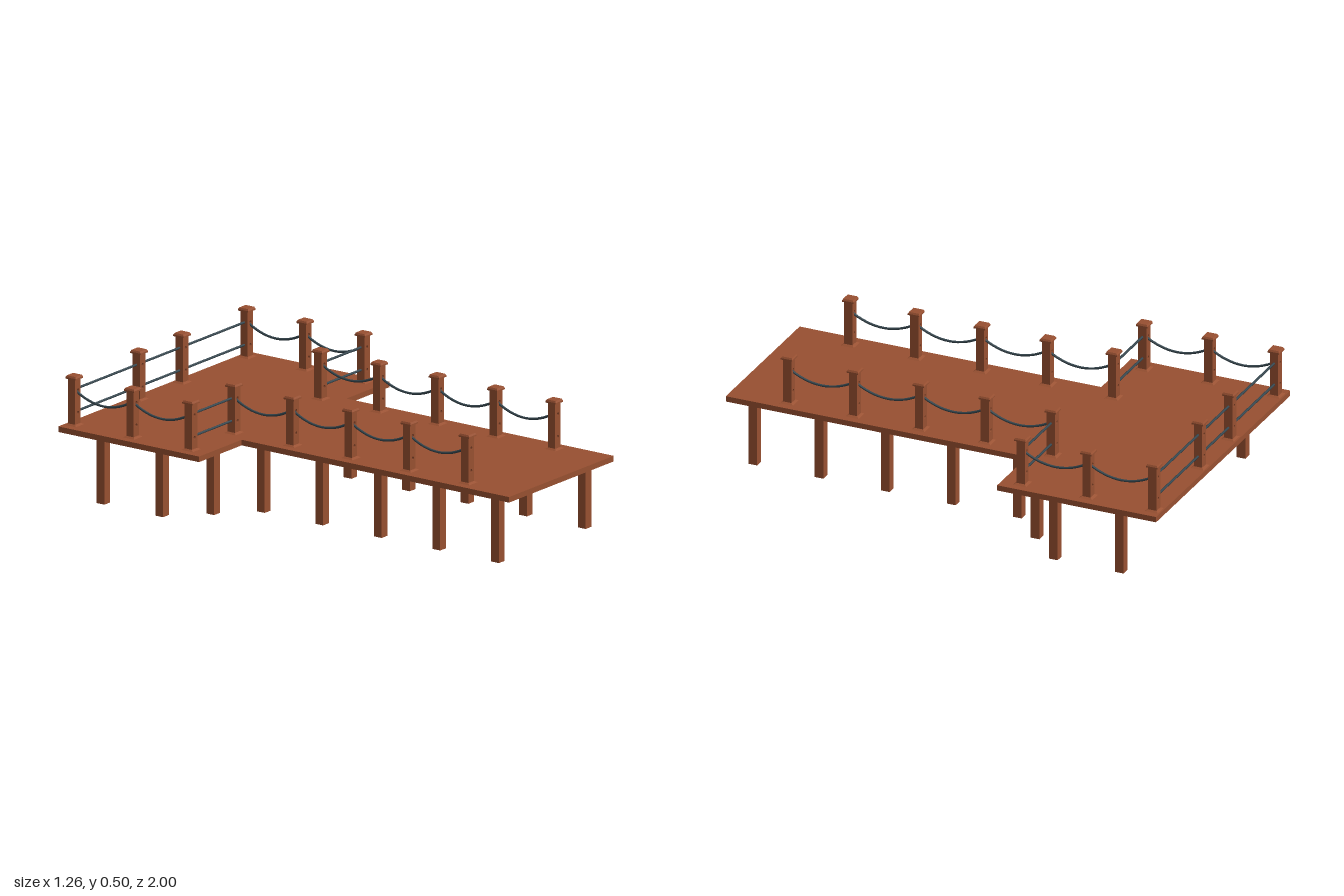
import * as THREE from 'three';

const wood = new THREE.MeshStandardMaterial({ color: 0x985031 });
wood.name = 'reddish wood';
const cord = new THREE.MeshStandardMaterial({ color: 0x36474f });
cord.name = 'slate rope';

const DECK_BOTTOM = 0.274, DECK_TOP = 0.297;
const ROPE_Y = 0.442, LOW_ROPE_Y = 0.349, ROPE_R = 0.005;
const POST_W = 0.036, POST_TOP = 0.488;

function add(parent, name, geometry, material, x = 0, y = 0, z = 0) {
  const mesh = new THREE.Mesh(geometry, material);
  mesh.name = name;
  mesh.position.set(x, y, z);
  parent.add(mesh);
  return mesh;
}

// square frustum standing on y = 0
function squareFrustum(bottom, top, height) {
  const g = new THREE.CylinderGeometry(top / Math.SQRT2, bottom / Math.SQRT2, height, 4, 1).toNonIndexed();
  g.rotateY(Math.PI / 4);
  g.translate(0, height / 2, 0);
  g.computeVertexNormals();
  return g;
}

// T-shaped platform
function deckGeometry() {
  const outline = [[-0.349, -1], [0.347, -1], [0.347, 0.31], [0.632, 0.31],
    [0.632, 1], [-0.632, 1], [-0.632, 0.31], [-0.349, 0.31]];
  const shape = new THREE.Shape(outline.map(([x, y]) => new THREE.Vector2(x, y)));
  const g = new THREE.ExtrudeGeometry(shape, { depth: DECK_TOP - DECK_BOTTOM, bevelEnabled: false });
  g.rotateX(-Math.PI / 2);
  g.translate(0, DECK_BOTTOM, 0);
  return g;
}

// square post drilled front to back at both rope heights
function postGeometry() {
  const h = POST_W / 2;
  const shape = new THREE.Shape([[-h, DECK_TOP], [h, DECK_TOP], [h, POST_TOP], [-h, POST_TOP]]
    .map(([x, y]) => new THREE.Vector2(x, y)));
  for (const y of [ROPE_Y, LOW_ROPE_Y]) {
    shape.holes.push(new THREE.Path().absarc(0, y, 0.007, 0, Math.PI * 2, true));
  }
  const g = new THREE.ExtrudeGeometry(shape, { depth: POST_W, bevelEnabled: false, curveSegments: 8 });
  g.translate(0, 0, -h);
  return g;
}

export function createModel() {
  const model = new THREE.Group();
  model.name = 'pier';
  add(model, 'deck', deckGeometry(), wood);

  // piles under the deck
  const legGeo = new THREE.BoxGeometry(0.038, DECK_BOTTOM, 0.038);
  const legs = [[0.288, 0.901], [0.288, 0.613], [0.288, 0.326], [0.288, 0.039], [0.288, -0.247],
    [0.43, -0.39], [0.573, -0.535], [0.573, -0.822]];

  // railing posts
  const postGeo = postGeometry();
  const footGeo = squareFrustum(0.056, 0.036, 0.006);
  const capGeo = new THREE.BoxGeometry(0.05, 0.006, 0.05);
  const capTopGeo = squareFrustum(0.05, 0.042, 0.007);
  const stemZ = [0.752, 0.466, 0.18, -0.106, -0.393];
  const headZ = [-0.393, -0.679, -0.965];
  const posts = [...stemZ.map(z => [0.288, z]), ...headZ.slice(1).map(z => [0.573, z]),
    [0.573, -0.393], [0.143, -0.965]];

  // hanging rope between two posts of one row
  function saggingRope(x, z0, z1) {
    const points = [];
    for (let i = 0; i <= 8; i++) {
      const t = i / 8;
      points.push(new THREE.Vector3(x, ROPE_Y - 0.045 * 4 * t * (1 - t), z0 + (z1 - z0) * t));
    }
    const curve = new THREE.CatmullRomCurve3(points);
    add(model, 'hangingRope', new THREE.TubeGeometry(curve, 16, ROPE_R, 8), cord);
  }

  // taut pair of ropes running across
  function tautRopes(x0, x1, z) {
    const g = new THREE.CylinderGeometry(ROPE_R, ROPE_R, Math.abs(x1 - x0), 8);
    g.rotateZ(Math.PI / 2);
    for (const y of [ROPE_Y, LOW_ROPE_Y]) add(model, 'tautRope', g, cord, (x0 + x1) / 2, y, z);
  }

  for (const side of [1, -1]) {
    for (const [x, z] of legs) add(model, 'leg', legGeo, wood, side * x, DECK_BOTTOM / 2, z);
    for (const [x, z] of posts) {
      const post = new THREE.Group();
      post.name = 'railingPost';
      post.position.set(side * x, 0, z);
      add(post, 'postShaft', postGeo, wood);
      add(post, 'postFoot', footGeo, wood, 0, DECK_TOP, 0);
      add(post, 'postCap', capGeo, wood, 0, POST_TOP + 0.003, 0);
      add(post, 'postCapTop', capTopGeo, wood, 0, POST_TOP + 0.006, 0);
      model.add(post);
    }
    for (const [x, row] of [[0.288, stemZ], [0.573, headZ]]) {
      for (let i = 0; i + 1 < row.length; i++) saggingRope(side * x, row[i], row[i + 1]);
    }
    tautRopes(side * 0.288, side * 0.573, -0.393);
  }
  tautRopes(-0.573, 0.573, -0.965);
  return model;
}
